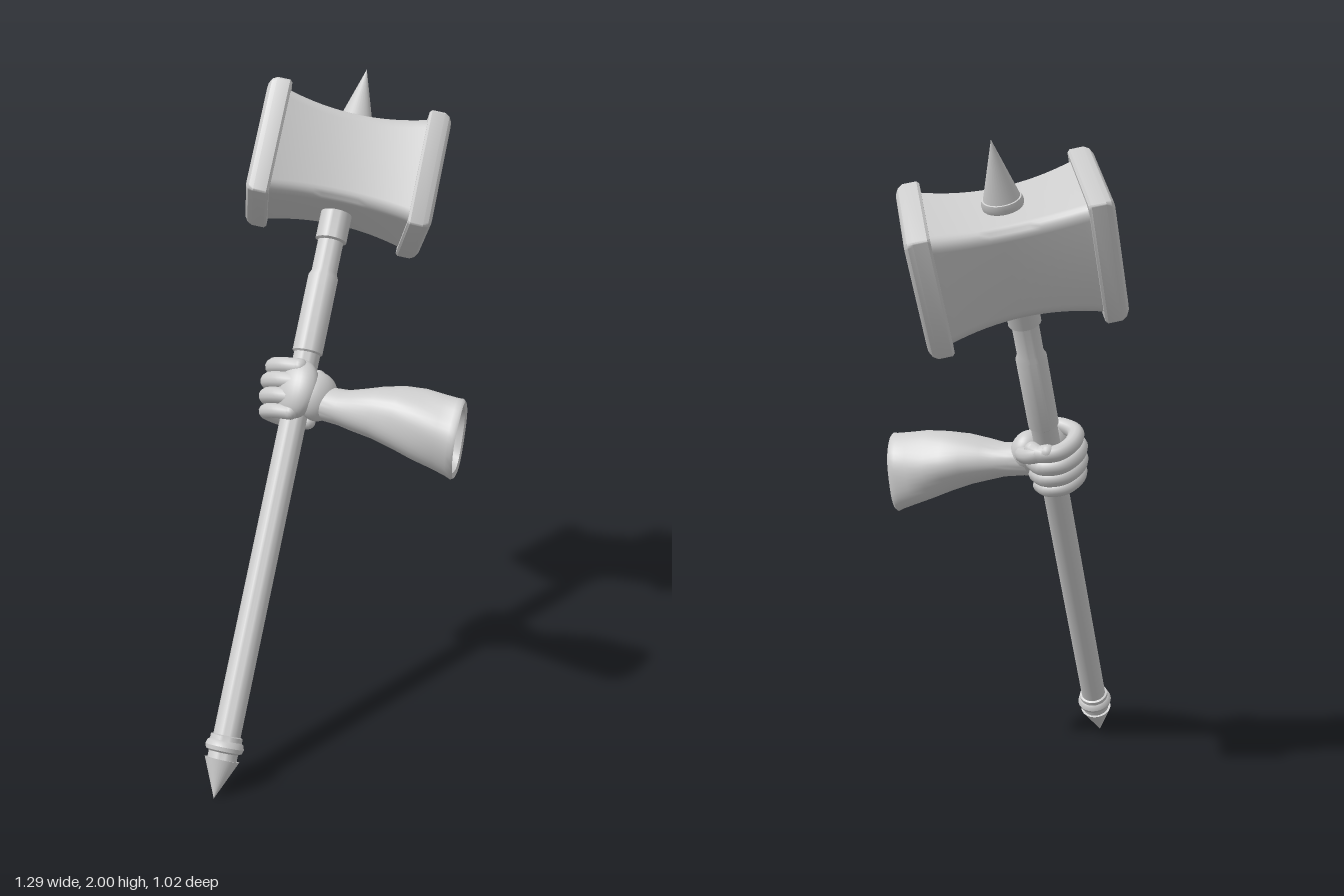
import * as THREE from 'three';
import { toCreasedNormals } from 'three/addons/utils/BufferGeometryUtils.js';

const grey = new THREE.MeshStandardMaterial({ color: 0xcccccc, side: THREE.DoubleSide });
const V = (x, y, z) => new THREE.Vector3(x, y, z);

function add(parent, name, geometry) {
  const mesh = new THREE.Mesh(geometry, grey);
  mesh.name = name;
  parent.add(mesh);
  return mesh;
}

// Skin over a list of closed rings with equal point counts
function loft(rings, crease) {
  const n = rings[0].length, index = [];
  for (let i = 0; i < rings.length - 1; i++)
    for (let j = 0; j < n; j++) {
      const k = (j + 1) % n, a = i * n + j, b = i * n + k;
      index.push(a, b, b + n, a, b + n, a + n);
    }
  const g = new THREE.BufferGeometry().setFromPoints(rings.flat());
  g.setIndex(index);
  return toCreasedNormals(g, crease);
}

// Rounded square outline at depth z
function squareRing(z, half, r) {
  const ring = [], c = half - r;
  for (let q = 0; q < 4; q++)
    for (let s = 0; s <= 5; s++) {
      const a = (q + s / 5) * Math.PI / 2, m = (q + 0.5) * Math.PI / 2;
      ring.push(V(Math.sign(Math.cos(m)) * c + r * Math.cos(a), Math.sign(Math.sin(m)) * c + r * Math.sin(a), z));
    }
  return ring;
}

function lathe(profile) {
  const pts = profile.map(([r, y]) => new THREE.Vector2(r, y));
  return toCreasedNormals(new THREE.LatheGeometry(pts, 32), 0.6);
}

// Round-ended finger along a smooth path
function finger(parent, name, points, r) {
  const curve = new THREE.CatmullRomCurve3(points);
  add(parent, name, new THREE.TubeGeometry(curve, 28, r, 12));
  for (const p of [points[0], points[points.length - 1]])
    add(parent, name + 'End', new THREE.SphereGeometry(r, 14, 10)).position.copy(p);
}

function frame(name, origin, x, y, z) {
  const group = new THREE.Group();
  group.name = name;
  group.position.copy(origin);
  group.quaternion.setFromRotationMatrix(new THREE.Matrix4().makeBasis(x, y, z));
  return group;
}

export function createModel() {
  const model = new THREE.Group();
  model.name = 'hammerAndArm';

  // The hammer's own axes: y along the handle, z through the head
  const origin = V(-0.655, 0, 0.17);
  const axis = V(0.472, 0.867, -0.16).normalize();
  const headDir = V(0.627, -0.202, 0.752);
  headDir.addScaledVector(axis, -headDir.dot(axis)).normalize();
  const hammer = frame('hammer', origin, axis.clone().cross(headDir), axis, headDir);
  model.add(hammer);

  add(hammer, 'pommelSpike', lathe([[0, 0], [0.052, 0.115], [0, 0.115]]));
  add(hammer, 'pommelCollar', lathe([[0.044, 0.113], [0.044, 0.135], [0.054, 0.14], [0.058, 0.152],
    [0.054, 0.165], [0.048, 0.17], [0.048, 0.183], [0.04, 0.186]]));
  add(hammer, 'shaft', lathe([[0.041, 0.15], [0.041, 1.36], [0.047, 1.365], [0.047, 1.61], [0.04, 1.625], [0.04, 1.9]]));
  add(hammer, 'neckCollar', lathe([[0.04, 1.725], [0.049, 1.73], [0.049, 1.85]]));

  // Head: waisted block between two bevelled striking plates
  const head = new THREE.Group();
  head.name = 'head';
  head.position.y = 1.964;
  hammer.add(head);
  const body = [];
  for (let i = 0; i <= 16; i++) {
    const t = i / 8 - 1;
    body.push(squareRing(t * 0.225, 0.145 + 0.024 * t * t, 0.035));
  }
  add(head, 'headBody', loft(body, 0.9));
  for (const turn of [0, Math.PI]) {
    const plate = [[0.215, 0.001, 0.0005], [0.215, 0.18, 0.008], [0.222, 0.186, 0.01], [0.262, 0.186, 0.01],
      [0.277, 0.18, 0.012], [0.286, 0.168, 0.012], [0.2875, 0.16, 0.012], [0.2875, 0.001, 0.0005]];
    add(head, 'strikingPlate', loft(plate.map(p => squareRing(...p)), 0.5)).rotation.y = turn;
  }

  add(hammer, 'topCollar', lathe([[0.05, 2.07], [0.05, 2.105], [0.058, 2.11], [0.06, 2.122], [0.056, 2.135], [0.04, 2.138]]));
  add(hammer, 'topSpike', lathe([[0.052, 2.136], [0, 2.308]]));

  // Fist: y along the handle, z towards the arm
  const side = V(1, 0, 0).addScaledVector(axis, -axis.x).normalize();
  const hand = frame('hand', origin, side, axis, side.clone().cross(axis));
  model.add(hand);
  for (let k = 0; k < 4; k++) {
    const t = 1.158 + k * 0.047, r = [0.023, 0.026, 0.027, 0.026][k], s = [0.93, 1, 1.04, 1][k];
    const path = [[-0.07, 0.05], [-0.085, -0.01], [-0.072, -0.06], [-0.02, -0.082], [0.035, -0.07], [0.066, -0.025], [0.058, 0.012]];
    finger(hand, 'finger', path.map(([x, z]) => V(x * s, t, z * s)), r);
  }
  const palm = add(hand, 'palm', new THREE.SphereGeometry(1, 28, 20));
  palm.scale.set(0.052, 0.092, 0.075);
  palm.position.set(-0.05, 1.235, 0.04);
  const heel = add(hand, 'handHeel', new THREE.SphereGeometry(1, 28, 20));
  heel.scale.set(0.07, 0.075, 0.055);
  heel.position.set(0, 1.225, 0.082);
  finger(hand, 'thumb', [V(0.01, 1.23, 0.095), V(0.052, 1.26, 0.06), V(0.075, 1.288, 0.01), V(0.055, 1.305, -0.045)], 0.026);

  // Forearm sections: centre x, y, z, half width, half height; the last ones turn into the hollow end
  const sections = [
    [-0.07, 1.06, 0.04, 0.05, 0.05], [-0.058, 1.056, 0.09, 0.062, 0.052], [-0.045, 1.053, 0.135, 0.067, 0.054],
    [-0.03, 1.052, 0.18, 0.077, 0.065], [-0.005, 1.05, 0.24, 0.089, 0.08], [0.02, 1.04, 0.3, 0.097, 0.095],
    [0.04, 1.025, 0.36, 0.098, 0.107], [0.06, 1.008, 0.42, 0.092, 0.114], [0.071, 0.998, 0.458, 0.087, 0.12],
    [0.076, 0.994, 0.472, 0.089, 0.124], [0.077, 0.993, 0.48, 0.084, 0.118], [0.076, 0.994, 0.476, 0.072, 0.103],
    [0.06, 1.005, 0.42, 0.074, 0.096], [0.04, 1.025, 0.35, 0.068, 0.08], [0.03, 1.035, 0.31, 0.04, 0.05],
    [0.027, 1.037, 0.3, 0.001, 0.001]];
  const arm = sections.map(([cx, cy, cz, rx, ry]) => {
    const ring = [], tilt = Math.min(0.5, cz * 1.2), fold = Math.min(0.06, cz * 0.16);
    for (let j = 0; j < 40; j++) {
      const a = j / 40 * Math.PI * 2;
      const f = 1 + fold * (0.6 * Math.sin(3 * a + 9 * cz) + 0.4 * Math.sin(5 * a - 14 * cz));
      const dx = rx * f * Math.cos(a), dy = ry * f * Math.sin(a);
      ring.push(V(cx + dx, cy + dy, cz - tilt * dx + 0.12 * dy));
    }
    return ring;
  });
  add(model, 'forearm', loft(arm, 1.0));
  return model;
}
